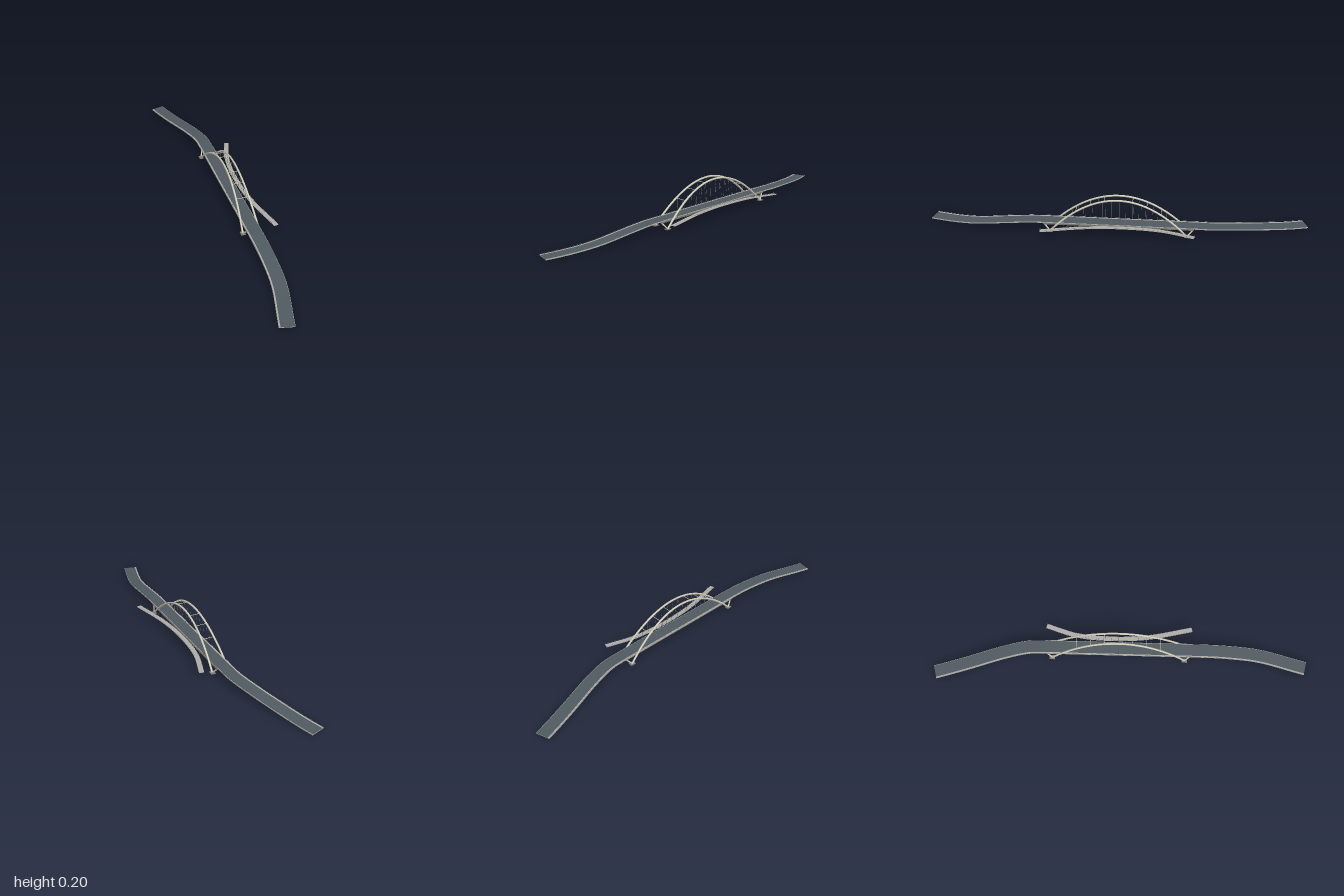
import * as THREE from 'three';
import { mergeGeometries } from 'three/addons/utils/BufferGeometryUtils.js';

const V = (x, y, z) => new THREE.Vector3(x, y, z);
const mat = (color) => new THREE.MeshStandardMaterial({ color });
const asphalt = mat(0x4f5a60), paving = mat(0xaeaca9), concrete = mat(0xb0ada7);
const steel = mat(0xccc8b6), dark = mat(0x7c7973), cable = mat(0x77776f);

// Bridge frame: s runs along the span to the front, lat across it to +x
const MID = V(0.078, 0, 0.01), ALONG = V(-0.289, 0, 0.957), ACROSS = V(0.957, 0, 0.289);
const YAW = Math.atan2(ALONG.x, ALONG.z);
const at = (s, lat, y) => MID.clone().addScaledVector(ALONG, s).addScaledVector(ACROSS, lat).setY(y);
const HALF = 0.403, DECK_Y = 0.05;

// Arch rule: parabola whose plane leans inward
const FOOT = 0.367, TOP = 0.195, RISE = 0.19;
const archY = (s) => TOP - RISE * (s / FOOT) ** 2;
const archLat = (y) => 0.045 - 0.016 * (y - TOP + RISE) / RISE;
const onArch = (s, side) => at(s, side * archLat(archY(s)), archY(s));

function mesh(name, geometry, material) {
  const m = new THREE.Mesh(geometry, material);
  m.name = name;
  return m;
}

function rod(a, b, r, sides = 4) {
  const g = new THREE.CylinderGeometry(r, r, a.distanceTo(b), sides);
  const q = new THREE.Quaternion().setFromUnitVectors(V(0, 1, 0), b.clone().sub(a).normalize());
  g.applyQuaternion(q);
  const c = a.clone().add(b).multiplyScalar(0.5);
  return g.translate(c.x, c.y, c.z);
}

// Sample a plan curve into points with a sideways direction
function frames(points, n, height) {
  const curve = new THREE.CatmullRomCurve3(points.map(([x, z]) => V(x, 0, z)), false, 'centripetal');
  return Array.from({ length: n + 1 }, (_, i) => {
    const p = curve.getPointAt(i / n), t = curve.getTangentAt(i / n);
    return { p: p.setY(height(p.z)), side: V(t.z, 0, -t.x).normalize() };
  });
}
const offset = (f, lat, y) => f.p.clone().addScaledVector(f.side, lat).add(V(0, y, 0));

// Rectangular strip from lat a to b and height y0 to y1, swept along frames
function strip(path, a, b, y0, y1) {
  const pos = [], idx = [];
  for (const f of path)
    for (const [l, y] of [[a, y0], [b, y0], [b, y1], [a, y1]]) pos.push(...offset(f, l, y).toArray());
  const last = (path.length - 1) * 4;
  for (let k = 0; k < last; k += 4)
    for (let i = 0; i < 4; i++) {
      const j = (i + 1) % 4;
      idx.push(k + i, k + j, k + 4 + j, k + i, k + 4 + j, k + 4 + i);
    }
  idx.push(0, 3, 2, 0, 2, 1, last, last + 1, last + 2, last, last + 2, last + 3);
  const g = new THREE.BufferGeometry();
  g.setAttribute('position', new THREE.Float32BufferAttribute(pos, 3));
  g.setIndex(idx);
  const flat = g.toNonIndexed();
  flat.computeVertexNormals();
  return flat;
}

// Handrail with posts at one edge of a path
function railing(name, path, lat, h, every) {
  const g = new THREE.Group();
  g.name = name;
  const posts = path.filter((_, i) => i % every === 0)
    .map((f) => rod(offset(f, lat, 0), offset(f, lat, h), 0.0003));
  g.add(mesh('railingPosts', mergeGeometries(posts), cable));
  g.add(mesh('handrail', strip(path, lat - 0.0003, lat + 0.0003, h - 0.0003, h + 0.0003), cable));
  return g;
}

function buildRoad() {
  const g = new THREE.Group();
  g.name = 'road';
  const height = (z) => {
    const t = z > 0 ? (z - 0.4) / 0.58 : (-z - 0.385) / 0.615;
    return DECK_Y - 0.045 * THREE.MathUtils.smoothstep(t, 0, 1);
  };
  const path = frames([
    [0.227, -1], [0.227, -0.8], [0.227, -0.6], [0.217, -0.47], [0.196, -0.39], [0.137, -0.193],
    [0.077, 0.005], [0.017, 0.203], [-0.042, 0.4], [-0.103, 0.6], [-0.163, 0.76], [-0.291, 0.979],
  ], 120, height);
  g.add(mesh('slab', strip(path, -0.038, 0.038, -0.005, -0.001), concrete));
  g.add(mesh('carriageway', strip(path, -0.03, 0.0365, -0.0015, 0), asphalt));
  g.add(mesh('sidewalk', strip(path, -0.038, -0.03, -0.0015, 0.001), paving));
  g.add(mesh('curb', strip(path, 0.0365, 0.038, -0.0015, 0.001), paving));
  g.add(railing('roadRailing', path, -0.0375, 0.004, 2));
  return g;
}

// Girders and cross beams under the flat span
function buildDeckFrame() {
  const beam = (w, h, l, s, lat, y) => {
    const c = at(s, lat, y);
    return new THREE.BoxGeometry(w, h, l).rotateY(YAW).translate(c.x, c.y, c.z);
  };
  const parts = [];
  for (const lat of [-0.037, -0.0125, 0.0125, 0.037])
    parts.push(beam(0.003, 0.008, 2 * HALF, 0, lat, 0.043));
  for (let i = 0; i <= 24; i++)
    parts.push(beam(0.076, 0.006, 0.004, (i / 12 - 1) * (HALF - 0.002), 0, 0.0435));
  return mesh('deckFrame', mergeGeometries(parts), dark);
}

function buildArch(side) {
  const g = new THREE.Group();
  g.name = side > 0 ? 'leftArch' : 'rightArch';
  const pts = Array.from({ length: 33 }, (_, i) => onArch((i / 16 - 1) * FOOT, side));
  g.add(mesh('archTube', new THREE.TubeGeometry(new THREE.CatmullRomCurve3(pts), 80, 0.0053, 12), steel));
  for (const end of [-1, 1]) {
    const foot = at(end * FOOT, side * 0.045, 0.005);
    // Strut leaning out to the end of the deck
    g.add(mesh('strut', rod(foot, at(end * (HALF - 0.002), side * 0.03, 0.044), 0.004, 10), steel));
    const plate = mesh('footPlate', new THREE.BoxGeometry(0.024, 0.003, 0.03), dark);
    plate.position.copy(foot);
    plate.rotation.y = YAW;
    g.add(plate);
  }
  const hangers = [];
  for (let i = -8; i <= 8; i++)
    hangers.push(rod(onArch(i * 0.0365, side), at(i * 0.0365, side * 0.037, DECK_Y - 0.004), 0.0004));
  g.add(mesh('hangers', mergeGeometries(hangers), cable));
  return g;
}

// Horizontal ties between the two arches
function buildBraces() {
  const parts = [];
  for (const y of [0.122, 0.163, 0.187])
    for (const end of [-1, 1]) {
      const s = end * FOOT * Math.sqrt((TOP - y) / RISE);
      parts.push(rod(onArch(s, -1), onArch(s, 1), 0.0015, 8));
    }
  return mesh('archBraces', mergeGeometries(parts), steel);
}

// Curved walkway hung from the left arch
function buildFootbridge() {
  const g = new THREE.Group();
  g.name = 'footbridge';
  const path = frames([[0.313, -0.341], [0.216, -0.196], [0.145, -0.016], [0.098, 0.185], [0.078, 0.435]],
    60, () => 0.0485);
  g.add(mesh('walkway', strip(path, -0.013, 0.013, -0.002, 0), paving));
  for (const lat of [-0.0125, 0.0125]) g.add(railing('walkwayRailing', path, lat, 0.004, 4));
  const cables = [];
  path.forEach((f, i) => {
    const p = offset(f, -0.0125, 0), s = p.clone().sub(MID).setY(0).dot(ALONG);
    if (i % 3 === 0 && Math.abs(s) < 0.29) cables.push(rod(onArch(s, 1), p, 0.0004));
  });
  g.add(mesh('walkwayHangers', mergeGeometries(cables), cable));
  return g;
}

export function createModel() {
  const model = new THREE.Group();
  model.name = 'archBridge';
  model.add(buildRoad(), buildDeckFrame(), buildArch(1), buildArch(-1), buildBraces(), buildFootbridge());
  return model;
}
